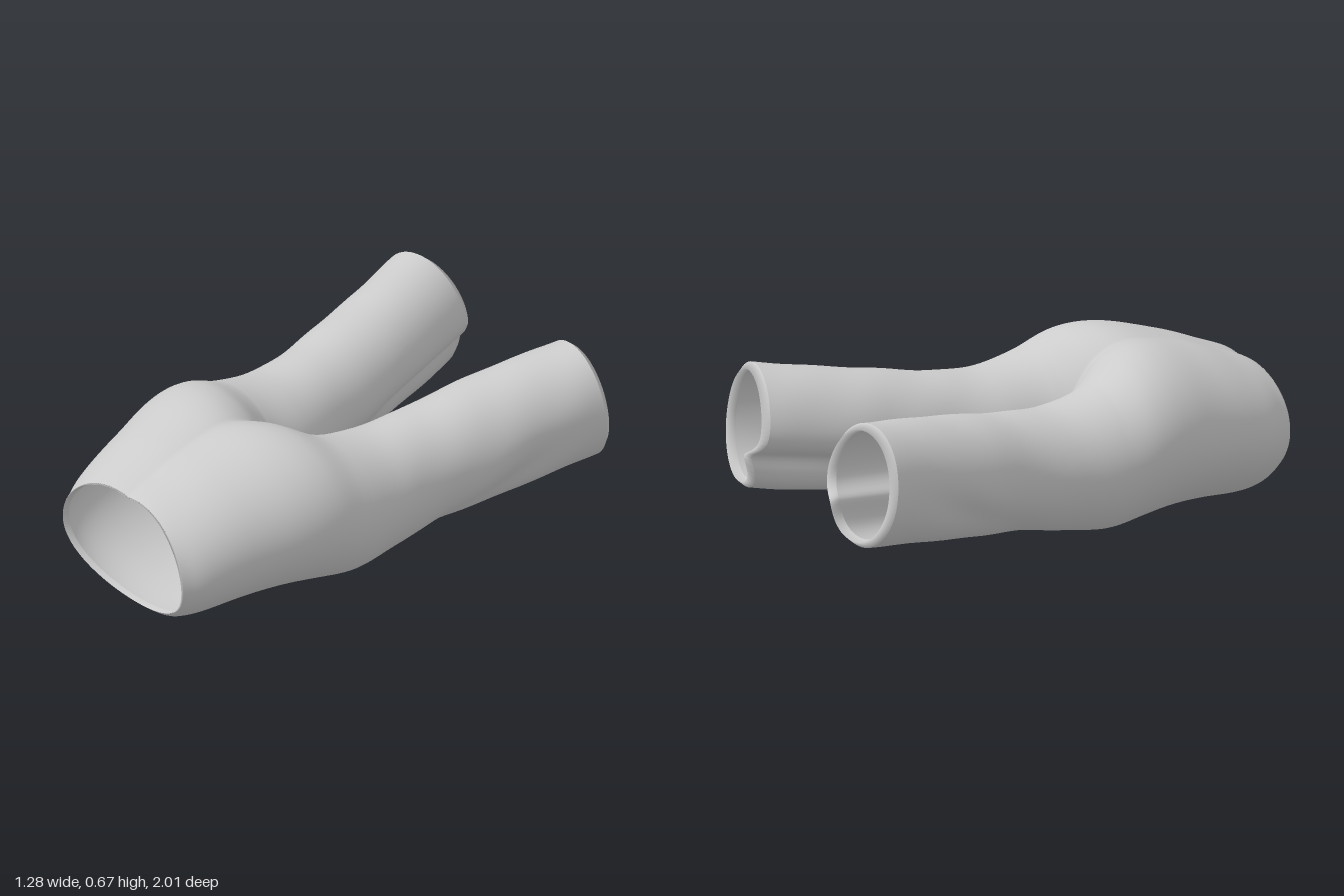
import * as THREE from 'three';
import { mergeGeometries, mergeVertices } from 'three/addons/utils/BufferGeometryUtils.js';

// Half cross-sections from waist to cuff: z, outer x, inner x, top y, bottom y.
// A negative inner x means that the two sides overlap and are cut open at x = 0.
const SECTIONS = [
  [0.96, 0.345, -0.21, 0.52, 0.03],
  [0.93, 0.36, -0.23, 0.535, 0.008],
  [0.85, 0.40, -0.26, 0.565, 0.004],
  [0.70, 0.45, -0.26, 0.622, 0.012],
  [0.50, 0.51, -0.23, 0.67, 0.025],
  [0.35, 0.535, -0.14, 0.655, 0.03],
  [0.19, 0.532, 0, 0.575, 0.025],
  [0.00, 0.515, 0.045, 0.535, 0.05],
  [-0.20, 0.512, 0.09, 0.545, 0.083],
  [-0.40, 0.55, 0.115, 0.575, 0.10],
  [-0.60, 0.585, 0.15, 0.605, 0.125],
  [-0.90, 0.645, 0.235, 0.648, 0.168],
];
const AROUND = 80, STEPS = 8;
const { smoothstep } = THREE.MathUtils;

// Catmull-Rom blend of one column of the section table
const blend = (p0, p1, p2, p3, t) => {
  const a = (p2 - p0) / 2, b = (p3 - p1) / 2;
  return p1 + a * t + (3 * (p2 - p1) - 2 * a - b) * t * t + (2 * (p1 - p2) + a + b) * t * t * t;
};

function interpolatedSections() {
  const out = [], last = SECTIONS.length - 1;
  for (let i = 0; i < last; i++) {
    const rows = [Math.max(i - 1, 0), i, i + 1, Math.min(i + 2, last)].map((k) => SECTIONS[k]);
    for (let s = 0; s < STEPS; s++) {
      out.push(rows[1].map((_, c) => blend(rows[0][c], rows[1][c], rows[2][c], rows[3][c], s / STEPS)));
    }
  }
  out.push(SECTIONS[last]);
  return out;
}

// One ring of the left side; inset shrinks it and push slides it along z
function ring([z, xo, xi, top, bottom], inset = 0, push = 0) {
  const cx = (xo + xi) / 2, cy = (top + bottom) / 2, b = (top - bottom) / 2;
  // the underside of the hips draws in to a single central belly
  const cxLow = cx * (1 - smoothstep(z, 0.3, 0.75));
  const open = xi < -1e-6;
  const high = open ? Math.acos(-cx / (xo - cx)) : Math.PI;
  const low = open ? Math.acos(-cxLow / (xo - cxLow)) : Math.PI;
  const cuff = smoothstep(-z, 0.55, 0.9), waist = smoothstep(z, 0.6, 0.96);
  const leg = smoothstep(-z, 0.1, 0.75);
  const points = [];
  for (let j = 0; j <= AROUND; j++) {
    const th = -low + ((low + high) * j) / AROUND;
    // long fold along the inner leg, and a slanting crease on the outer leg
    const fold = leg * Math.exp((Math.cos(th + 2.62) - 1) * 20);
    const creaseAt = -0.95 - (z + 0.2) * 1.6;
    const crease = Math.exp((Math.cos(th - creaseAt) - 1) * 16) * Math.exp(-(((z + 0.5) / 0.26) ** 2));
    const cloth = 0.006 * Math.sin(z * 23 + th * 3) * smoothstep(-z, -0.1, 0.2);
    const r = 1 - 0.3 * fold - 0.09 * crease + cloth;
    const c = th < 0 ? cxLow : cx;
    let x = c + (xo - c) * r * Math.cos(th), y = cy + b * r * Math.sin(th);
    const zz = z + push + waist * (0.09 * (y - 0.03) + 0.4 * x * x - 0.035)
      + cuff * (0.1 * (y - 0.41) + 0.15 * (x - 0.54)) - cuff * 0.035 * fold;
    // shrink towards the middle of the opening
    const mid = open ? 0 : cx;
    x = mid + (x - mid) * (1 - inset);
    y = cy + (y - cy) * (1 - inset);
    points.push([Math.max(x, 0), y, zz]);
  }
  return points;
}

// Skin a list of rings; sign -1 mirrors them to the other side
function skin(rings, sign) {
  const pos = [], index = [], n = AROUND + 1;
  for (const row of rings) for (const [x, y, z] of row) pos.push(sign * x, y, z);
  for (let i = 0; i < rings.length - 1; i++) {
    for (let j = 0; j < AROUND; j++) {
      const a = i * n + j, b = a + 1, c = a + n, d = c + 1;
      if (sign > 0) index.push(a, c, b, b, c, d);
      else index.push(a, b, c, b, d, c);
    }
  }
  const g = new THREE.BufferGeometry();
  g.setAttribute('position', new THREE.Float32BufferAttribute(pos, 3));
  g.setIndex(index);
  return g;
}

export function createModel() {
  const group = new THREE.Group();
  group.name = 'trousers';
  const material = new THREE.MeshStandardMaterial({ color: 0xcccccc, side: THREE.DoubleSide });
  const add = (name, parts) => {
    const g = mergeVertices(mergeGeometries(parts), 1e-4);
    g.computeVertexNormals();
    const mesh = new THREE.Mesh(g, material);
    mesh.name = name;
    group.add(mesh);
  };
  const sections = interpolatedSections();
  const first = sections[0], last = sections[sections.length - 1];

  // hips and both legs as one continuous cloth
  const body = sections.map((s) => ring(s));
  add('hipsAndLegs', [skin(body, 1), skin(body, -1)]);

  // turned-in edge of the waist
  const waist = [ring(first, 0.03, -0.02), ring(first, 0.015, 0.006), ring(first)];
  add('waistEdge', [skin(waist, 1), skin(waist, -1)]);

  // bevelled hems of the legs
  const hem = [ring(last), ring(last, 0.1, -0.028), ring(last, 0.13, 0.01)];
  add('leftHem', [skin(hem, 1)]);
  add('rightHem', [skin(hem, -1)]);
  return group;
}
